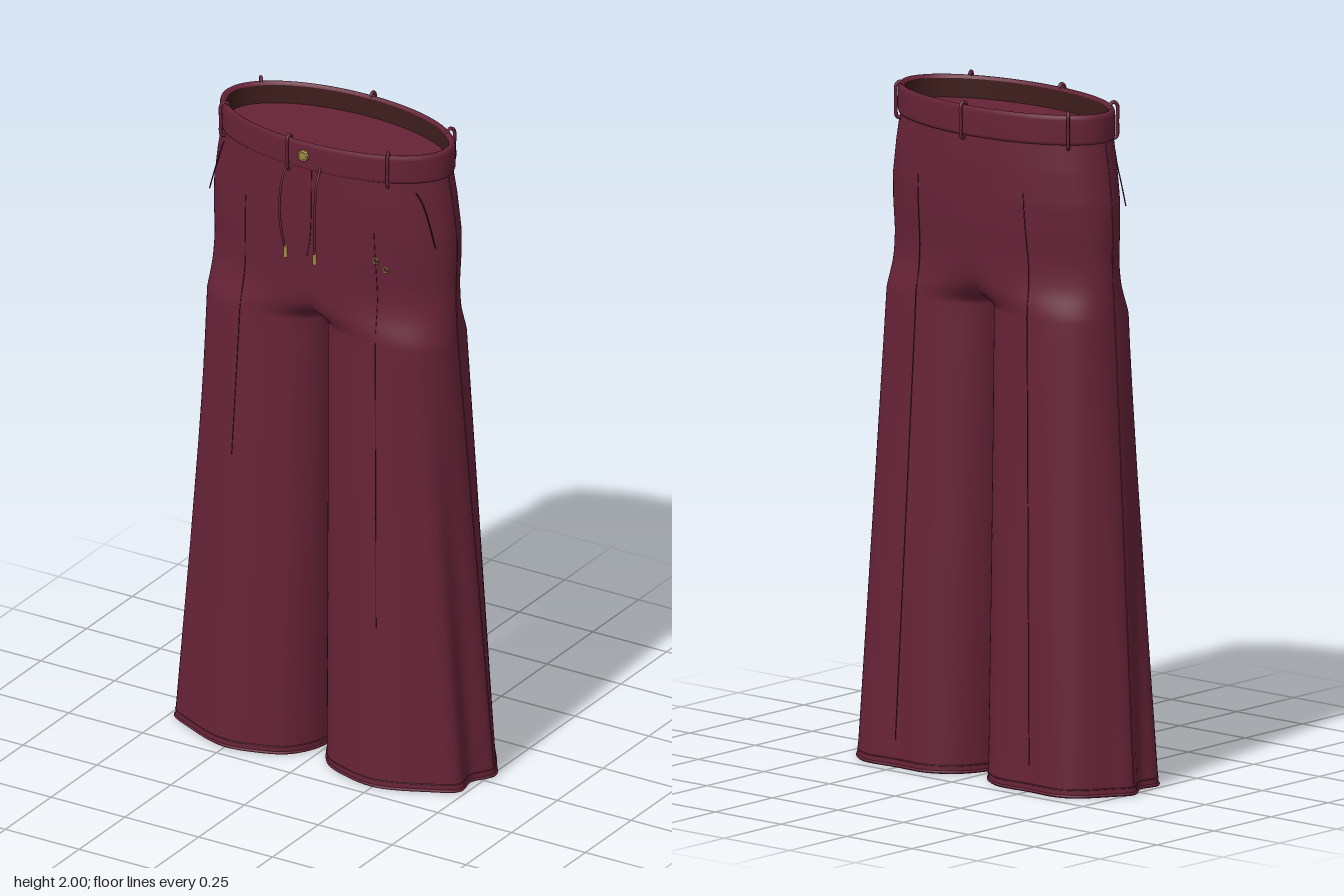
import * as THREE from 'three';

const mat = (name, color, side = THREE.FrontSide) => {
  const m = new THREE.MeshStandardMaterial({ color, side });
  m.name = name;
  return m;
};
const V = (x, y, z) => new THREE.Vector3(x, y, z);
const lerp = THREE.MathUtils.lerp;

const CROTCH = 1.38, TOP = 1.91, BAND_Z = -0.01;

// Hip silhouette by height: y, half width, front z, back z
const HIPS = [
  [1.91, 0.374, 0.172, -0.188], [1.82, 0.39, 0.174, -0.192], [1.72, 0.403, 0.172, -0.192],
  [1.64, 0.405, 0.167, -0.186], [1.55, 0.402, 0.16, -0.176], [1.46, 0.405, 0.154, -0.166],
  [1.38, 0.41, 0.153, -0.164],
];

// Wavy outline of the left hem (x, z), starting and ending at the inseam
const HEM = new THREE.CatmullRomCurve3([
  [0.008, 0], [0.02, -0.09], [0.06, -0.16], [0.135, -0.206], [0.25, -0.207], [0.37, -0.208],
  [0.425, -0.175], [0.48, -0.1], [0.513, -0.04], [0.475, 0.03], [0.483, 0.1], [0.4, 0.152],
  [0.26, 0.204], [0.15, 0.187], [0.07, 0.15], [0.022, 0.08],
].map(([x, z]) => V(x, 0, z)), true);

function hipRow(y) {
  let i = 0;
  while (i < HIPS.length - 2 && y < HIPS[i + 1][0]) i++;
  const a = HIPS[i], b = HIPS[i + 1];
  const t = THREE.MathUtils.clamp((a[0] - y) / (a[0] - b[0]), 0, 1);
  return [1, 2, 3].map((c) => lerp(a[c], b[c], t));
}

// Point on the left half: u runs from the back seam (-1) past the side (0) to the front seam (1)
function surface(u, y) {
  const [w, front, back] = hipRow(Math.max(y, CROTCH));
  const s = THREE.MathUtils.clamp((1.62 - y) / (1.62 - CROTCH), 0, 1) ** 4;
  const k = s * Math.PI / 2, a = u * (Math.PI / 2 + k);
  const rx = w / (1 + Math.sin(k));
  const sn = Math.sin(a);
  const p = V(w - rx + rx * Math.cos(a), y,
    (front + back) / 2 + (front - back) / 2 * Math.sign(sn) * Math.abs(sn) ** (1 - 0.2 * s));
  if (y < CROTCH) {
    const h = HEM.getPoint((u + 1) / 2 % 1), t = 1 - y / CROTCH;
    p.x = lerp(p.x, h.x, t);
    p.z = lerp(p.z, h.z, t);
  }
  return p;
}

// Point on the front (dir 1) or back (dir -1) surface at a given x
function onCloth(x, y, dir) {
  let lo = 0.3, hi = 1;
  for (let i = 0; i < 24; i++) {
    const m = (lo + hi) / 2;
    if (surface(dir * m, y).x > Math.abs(x)) lo = m; else hi = m;
  }
  const p = surface(dir * lo, y);
  return V(x, y, p.z + dir * 0.0005);
}

// One half of the trousers: hip half and leg in one skin
function halfGeometry(side) {
  const ys = [], N = 96;
  for (let i = 0; i <= 36; i++) ys.push(lerp(TOP, CROTCH, i / 36));
  for (let i = 1; i <= 24; i++) ys.push(lerp(CROTCH, 0, i / 24));
  const pos = [], idx = [];
  ys.forEach((y, i) => {
    for (let j = 0; j <= N; j++) {
      const p = surface(j / N * 2 - 1, y);
      pos.push(side * p.x, p.y, p.z);
      if (i && j) {
        const d = i * (N + 1) + j, c = d - 1, b = d - N - 1, a = b - 1;
        if (side > 0) idx.push(a, b, c, b, d, c);
        else idx.push(a, c, b, b, c, d);
      }
    }
  });
  const g = new THREE.BufferGeometry();
  g.setAttribute('position', new THREE.Float32BufferAttribute(pos, 3));
  g.setIndex(idx);
  g.computeVertexNormals();
  // Smooth shading across the centre seam and the inseam
  const n = g.attributes.normal;
  ys.forEach((y, i) => {
    for (const j of [0, N]) {
      const q = i * (N + 1) + j;
      const v = y > CROTCH + 0.001 ? V(0, n.getY(q), n.getZ(q)).normalize() : V(-side, 0, 0);
      n.setXYZ(q, v.x, v.y, v.z);
    }
  });
  return g;
}

export function createModel() {
  const root = new THREE.Group();
  root.name = 'trousers';
  const cloth = mat('burgundy cloth', 0x672338);
  const thread = mat('dark thread', 0x3f1423);
  const lining = mat('brown lining', 0x3d1d1c, THREE.DoubleSide);
  const gold = mat('antique gold', 0xa08a42);

  const add = (name, geo, material, x = 0, y = 0, z = 0) => {
    const m = new THREE.Mesh(geo, material);
    m.name = name;
    m.position.set(x, y, z);
    root.add(m);
    return m;
  };
  const tube = (name, pts, r, material, seg = 32) =>
    add(name, new THREE.TubeGeometry(new THREE.CatmullRomCurve3(pts), seg, r, 6), material);
  const line = (n, f) => Array.from({ length: n + 1 }, (_, i) => f(i / n));

  for (const side of [1, -1]) {
    const label = side > 0 ? 'left' : 'right';
    add(label + 'Leg', halfGeometry(side), cloth);

    // Closed hem with a slightly raised edge
    const rim = HEM.getPoints(96).slice(0, -1);
    const sole = new THREE.ShapeGeometry(new THREE.Shape(rim.map((p) => new THREE.Vector2(side * p.x, p.z))));
    add(label + 'HemBase', sole.rotateX(Math.PI / 2), cloth, 0, 0.002, 0);
    for (const y of [0.005, 0.024]) {
      const loop = rim.map((_, i) => surface(i / 48 - 1, y)).map((p) => V(side * p.x, p.y, p.z));
      add(label + 'HemEdge', new THREE.TubeGeometry(new THREE.CatmullRomCurve3(loop, true), 128,
        y < 0.01 ? 0.004 : 0.002, 6, true), cloth);
    }

    // Pressed creases, side seam and slanted pocket opening
    tube(label + 'FrontCrease', line(16, (t) =>
      onCloth(side * lerp(0.217, 0.25, t), lerp(1.75, side > 0 ? 0.5 : 0.92, t), 1)), 0.0012, thread, 64);
    tube(label + 'BackCrease', line(24, (t) =>
      onCloth(side * lerp(0.2, 0.255, t), lerp(1.75, 0.08, t), -1)), 0.0015, thread, 64);
    tube(label + 'SideSeam', line(30, (t) => {
      const p = surface(0, lerp(1.9, 0.03, t));
      return V(side * p.x, p.y, p.z);
    }), 0.0015, cloth, 64);
    tube(label + 'Pocket', line(8, (t) =>
      onCloth(side * lerp(0.325, 0.383, t ** 0.8), lerp(1.87, 1.7, t), 1)), 0.0018, thread);

    // Drawstring with metal tip
    const x = side * 0.053;
    tube(label + 'Drawstring', [V(x, 1.915, 0.172), V(x * 1.08, 1.87, 0.2), V(x * 1.12, 1.78, 0.213),
      V(x * 1.05, 1.7, 0.208), V(x * 0.95, 1.65, 0.199)], 0.004, cloth);
    add(label + 'StringTip', new THREE.CylinderGeometry(0.005, 0.007, 0.04, 10), gold, x * 0.93, 1.637, 0.196);
  }

  // Fly stitching
  tube('flyStitch', line(12, (t) => onCloth(lerp(0.024, 0.004, t ** 4), lerp(1.9, 1.62, t), 1)), 0.0012, thread);

  // Oval waistband, its lining and the closed inside
  const oval = (profile) => new THREE.LatheGeometry(profile.map(([r, y]) => new THREE.Vector2(r, y)), 96)
    .scale(0.382, 1, 0.185);
  add('waistband', oval([[0.965, 1.897], [0.99, 1.9], [1, 1.908], [1, 1.972], [0.992, 1.982], [0.975, 1.987],
    [0.955, 1.985], [0.94, 1.977]]), cloth, 0, 0, BAND_Z);
  add('waistLining', oval([[0.94, 1.977], [0.94, 1.915]]), lining, 0, 0, BAND_Z);
  add('innerPanel', new THREE.CircleGeometry(1, 96).rotateX(-Math.PI / 2).scale(0.365, 1, 0.177),
    cloth, 0, 1.92, BAND_Z);

  // Belt loops spaced around the band
  for (const [x, dir] of [[-0.325, 1], [-0.052, 1], [0.255, 1], [-0.322, -1], [0.005, -1], [0.322, -1]]) {
    const z = dir * 0.185 * Math.sqrt(1 - (x / 0.382) ** 2);
    const out = V(x / 0.382 ** 2, 0, z / 0.185 ** 2).normalize();
    const at = (d, y) => V(x + out.x * d, y, z + BAND_Z + out.z * d);
    tube('beltLoop', [at(-0.004, 1.888), at(0.008, 1.894), at(0.01, 1.94), at(0.009, 1.988),
      at(-0.002, 1.996), at(-0.014, 1.985)], 0.0055, cloth);
  }

  // Waist button with raised rim
  add('button', new THREE.CylinderGeometry(0.015, 0.017, 0.01, 24).rotateX(Math.PI / 2), gold, 0, 1.945, 0.178);
  add('buttonRim', new THREE.TorusGeometry(0.014, 0.003, 8, 24), gold, 0, 1.945, 0.182);

  // Small metal rings on the left thigh
  for (const [x, y] of [[0.222, 1.648], [0.25, 1.622]]) {
    const p = onCloth(x, y, 1);
    add('metalRing', new THREE.TorusGeometry(0.009, 0.0025, 6, 16), gold, p.x, p.y, p.z + 0.002);
  }
  return root;
}
